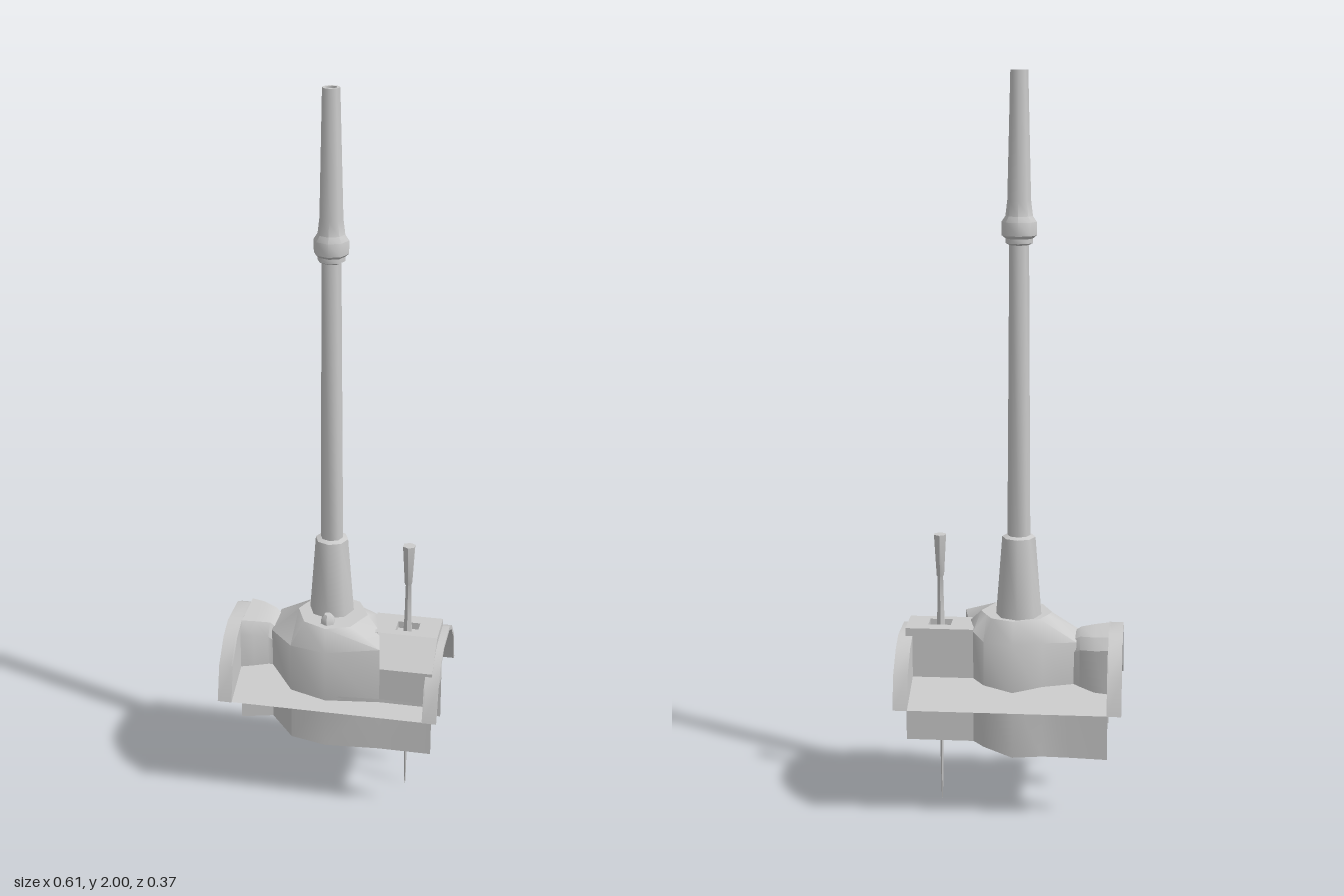
import * as THREE from 'three';
import { toCreasedNormals } from 'three/addons/utils/BufferGeometryUtils.js';

const material = new THREE.MeshStandardMaterial({ color: 0xcccccc, side: THREE.DoubleSide });

export function createModel() {
  const model = new THREE.Group();

  const add = (name, geometry, crease = 0.6) => {
    const mesh = new THREE.Mesh(toCreasedNormals(geometry, crease), material);
    mesh.name = name;
    model.add(mesh);
    return mesh;
  };

  // Skin between successive rows of [x, y, z] points
  const loft = (rows, closed = false) => {
    const n = rows[0].length, index = [];
    for (let r = 0; r < rows.length - 1; r++) {
      for (let i = 0; i < (closed ? n : n - 1); i++) {
        const a = r * n + i, b = r * n + (i + 1) % n;
        index.push(a, a + n, b, b, a + n, b + n);
      }
    }
    const g = new THREE.BufferGeometry();
    g.setAttribute('position', new THREE.Float32BufferAttribute(rows.flat(2), 3));
    g.setIndex(index);
    return g;
  };

  // Prism along x from a [z, y] profile
  const prism = (profile, x0, x1) => {
    const shape = new THREE.Shape(profile.map(([z, y]) => new THREE.Vector2(-z, y)));
    return new THREE.ExtrudeGeometry(shape, { depth: x1 - x0, bevelEnabled: false })
      .rotateY(Math.PI / 2).translate(x0, 0, 0);
  };

  // Turned part from [radius, y] points
  const turned = (name, profile, sides, x, z) =>
    add(name, new THREE.LatheGeometry(profile.map(p => new THREE.Vector2(...p)), sides), 0.85)
      .position.set(x, 0, z);

  // Main housing: upright walls, sloping shoulder, flat octagonal roof
  const outline = [[-0.18, 0.05], [-0.11, 0.125], [-0.01, 0.147], [0.14, 0.135],
    [0.12, 0.03], [0.1, -0.06], [0.07, -0.085], [-0.01, -0.11], [-0.09, -0.085], [-0.18, -0.07]];
  const roof = [[-0.11, 0.015], [-0.08, 0.085], [-0.015, 0.115], [0.05, 0.09],
    [0.085, 0.015], [0.066, -0.025], [0.05, -0.055], [-0.01, -0.08], [-0.08, -0.05], [-0.1, -0.01]];
  const level = (points, y) => points.map(([x, z]) => [x, y, z]);
  const shoulder = outline.map(([x, z]) => [x, x > 0.09 ? 0.515 : 0.495, z]);
  add('housing', loft([level(outline, 0.33), shoulder, level(roof, 0.552)], true), 0.9);
  add('housingRoof', new THREE.ShapeGeometry(
    new THREE.Shape(roof.map(([x, z]) => new THREE.Vector2(x, -z))))
    .rotateX(-Math.PI / 2).translate(0, 0.552, 0));

  // Hood joining the housing to the arch at -x
  const hood = (x, front, back, top) => [[front, 0.33], [front, top - 0.035], [front - 0.02, top],
    [back + 0.025, top], [back, top - 0.03], [back, 0.33]].map(([z, y]) => [x, y, z]);
  add('hood', loft([hood(-0.267, 0.07, -0.105, 0.515), hood(-0.23, 0.062, -0.1, 0.512),
    hood(-0.19, 0.052, -0.08, 0.507), hood(-0.172, 0.052, -0.07, 0.495)]));

  // Side box with sloping front and a square socket in its top
  add('sideBox', prism([[0.135, 0.33], [0.135, 0.455], [0.076, 0.5], [-0.06, 0.5], [-0.06, 0.33]], 0.1, 0.285));
  add('sideBoxSlope', prism([[0.076, 0.5], [0.05, 0.52], [0.05, 0.5]], 0.12, 0.285));
  const rect = (Type, x0, x1, z0, z1) => new Type([[x0, z0], [x1, z0], [x1, z1], [x0, z1]]
    .map(([x, z]) => new THREE.Vector2(x, -z)));
  const lid = rect(THREE.Shape, 0.1, 0.285, -0.06, 0.05);
  lid.holes.push(rect(THREE.Path, 0.165, 0.227, -0.022, 0.027));
  add('sideBoxLid', new THREE.ExtrudeGeometry(lid, { depth: 0.02, bevelEnabled: false })
    .rotateX(-Math.PI / 2).translate(0, 0.5, 0));

  // End arches: thin bent rim with a recessed end wall
  const arc = [[0.185, 0.33], [0.158, 0.43], [0.105, 0.49], [0.055, 0.515],
    [-0.055, 0.515], [-0.105, 0.49], [-0.158, 0.43], [-0.185, 0.33]];
  for (const side of [-1, 1]) {
    const stretch = side < 0 ? 1 : 0.92;
    const outer = arc.map(([z, y]) => [z, 0.33 + (y - 0.33) * stretch]);
    const inner = outer.map(([z, y]) => [z * 0.94, 0.33 + (y - 0.33) * 0.94]).reverse();
    const x0 = side < 0 ? -0.305 : 0.267;
    add('archRim', prism([...outer, ...inner], x0, x0 + 0.038));
    add('archWall', prism(outer, side * 0.268 - 0.002, side * 0.268 + 0.002));
    // Running board sloping down and outwards
    add('runningBoard', loft([-0.267, 0.267].map(x =>
      [[x, 0.33, side * 0.183], [x, 0.387, side * 0.048]])));
  }

  // Skirt walls hanging below the housing, as [x, z, bottom]
  const skirt = (name, points) => add(name, loft([
    points.map(([x, z]) => [x, 0.36, z]), points.map(([x, z, y]) => [x, y, z])]));
  skirt('frontSkirt', [[-0.267, 0.07, 0.213], [-0.18, 0.05, 0.215], [-0.11, 0.125, 0.202],
    [-0.01, 0.147, 0.2], [0.14, 0.135, 0.2], [0.285, 0.135, 0.2]]);
  skirt('backSkirt', [[-0.267, -0.105, 0.175], [-0.16, -0.097, 0.175], [-0.09, -0.095, 0.175],
    [-0.01, -0.11, 0.175], [0.07, -0.085, 0.194], [0.1, -0.06, 0.2], [0.285, -0.06, 0.2]]);

  // Mast: tapered foot, shaft, collar and hollow tip
  turned('mast', [[0.062, 0.55], [0.045, 0.77], [0.031, 0.775], [0.026, 1.555], [0.036, 1.56],
    [0.036, 1.572], [0.046, 1.58], [0.046, 1.615], [0.036, 1.63], [0.031, 1.67], [0.023, 2],
    [0.015, 2], [0.013, 1.9], [0, 1.9]], 8, -0.02, -0.006);

  // Small roof knob
  turned('knob', [[0.021, 0.55], [0.019, 0.566], [0.01, 0.578], [0, 0.579]], 6, -0.015, 0.077);

  // Lever with flared grip, and its thin rod running down through the box
  turned('lever', [[0.013, 0.5], [0.01, 0.56], [0.008, 0.65], [0.011, 0.655], [0.018, 0.77],
    [0, 0.77]], 6, 0.195, 0);
  turned('leverRod', [[0, 0], [0.002, 0.01], [0.006, 0.22], [0.007, 0.5]], 6, 0.195, 0);

  return model;
}
